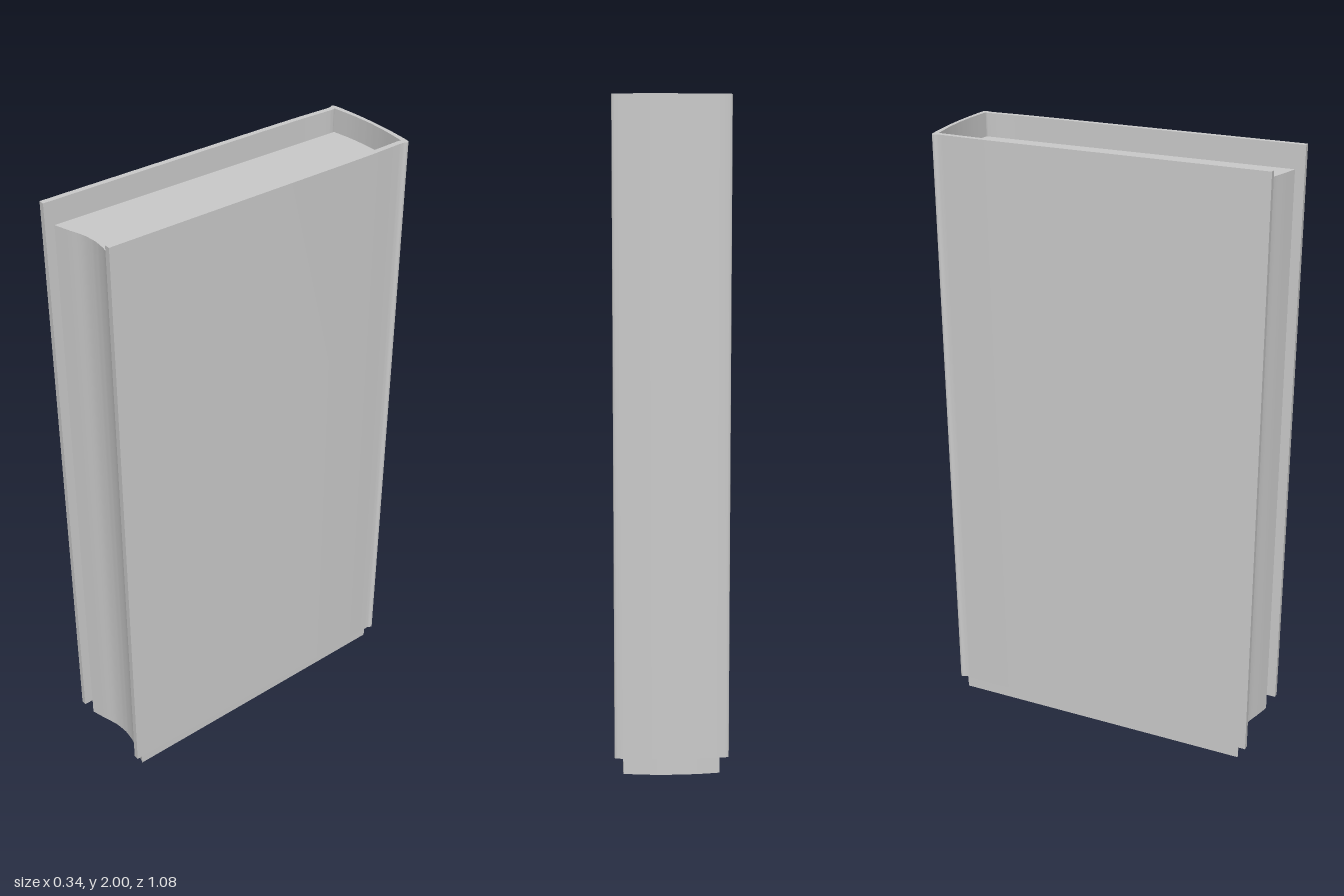
import * as THREE from 'three';
import { toCreasedNormals } from 'three/addons/utils/BufferGeometryUtils.js';

const material = new THREE.MeshStandardMaterial({ color: 0xcccccc });

// Smooth run of points through [x, z] pairs
const smooth = (pairs, n) =>
  new THREE.SplineCurve(pairs.map(([x, z]) => new THREE.Vector2(x, z))).getPoints(n);

// Mirror a half profile (ending on the centre line) to the other side
const mirrored = (half) => [
  ...half,
  ...half.slice(0, -1).reverse().map((p) => new THREE.Vector2(-p.x, p.y)),
];

// Upright prism from an outline in x/z, between two heights
function prism(name, outline, y0, y1) {
  const shape = new THREE.Shape(outline.map((p) => new THREE.Vector2(p.x, -p.y)));
  let geometry = new THREE.ExtrudeGeometry(shape, { depth: y1 - y0, bevelEnabled: false });
  geometry.rotateX(-Math.PI / 2);
  geometry.translate(0, y0, 0);
  geometry = toCreasedNormals(geometry, 0.6);
  const mesh = new THREE.Mesh(geometry, material);
  mesh.name = name;
  return mesh;
}

export function createModel() {
  const book = new THREE.Group();
  book.name = 'book';

  // Cover: two boards, a shallow hinge groove and a rounded spine
  const outer = [
    new THREE.Vector2(0.17, 0.54),
    ...smooth([[0.17, -0.25], [0.169, -0.38], [0.166, -0.47], [0.165, -0.508]], 12),
    ...smooth([[0.168, -0.515], [0.171, -0.521], [0.17, -0.527], [0.163, -0.531]], 8),
    ...smooth([[0.14, -0.534], [0.07, -0.539], [0, -0.541]], 12),
  ];
  const inner = [
    new THREE.Vector2(0.152, 0.54),
    ...smooth([[0.152, -0.25], [0.151, -0.38], [0.148, -0.47], [0.147, -0.508]], 12),
    ...smooth([[0.15, -0.516], [0.07, -0.525], [0, -0.528]], 12),
  ];
  const cover = [...mirrored(outer), ...mirrored(inner).reverse()];
  book.add(prism('cover', cover, 0.055, 2));

  // Page block: hollow fore edge at the front, rounded back
  const back = smooth([[0.145, -0.513], [0.075, -0.522], [0, -0.525]], 10);
  const fore = smooth([[0.151, 0.51], [0.1, 0.495], [0.05, 0.479], [0, 0.473]], 14);
  const pages = [...mirrored(back), ...mirrored(fore).reverse()];
  book.add(prism('pages', pages, 0, 1.925));

  return book;
}
